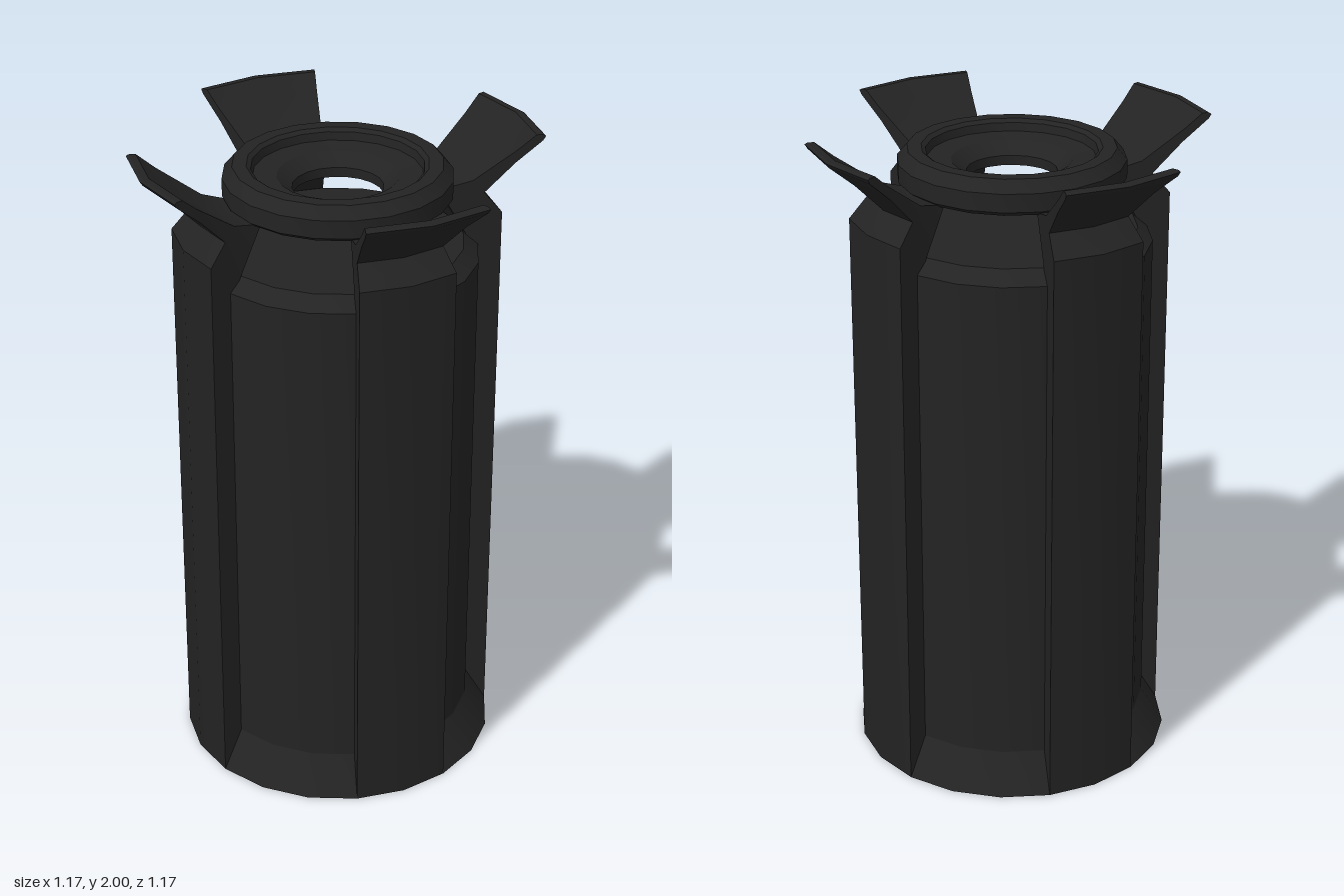
import * as THREE from 'three';
import { mergeGeometries, toCreasedNormals } from 'three/addons/utils/BufferGeometryUtils.js';

const STEP = Math.PI / 10; // one side of the 20-sided round
const CREASE = THREE.MathUtils.degToRad(25);
const toPoints = (list) => list.map(([r, y]) => new THREE.Vector2(r, y));

// Revolved part; profiles run upward on the outside.
function turned(profile, segments = 20, start = 0, length = Math.PI * 2) {
  return new THREE.LatheGeometry(toPoints(profile), segments, start, length);
}

// Flat side of a rib at angle a, facing towards lower or higher angles.
function sideCap(profile, a, flip) {
  const cap = new THREE.ShapeGeometry(new THREE.Shape(toPoints(profile)));
  cap.rotateY(a - Math.PI / 2);
  if (flip) cap.index.array.reverse();
  return cap;
}

export function createModel() {
  const group = new THREE.Group();
  const black = new THREE.MeshStandardMaterial({ color: 0x232323 });
  black.name = 'matte black';

  const add = (name, geometry) => {
    const mesh = new THREE.Mesh(toCreasedNormals(geometry, CREASE), black);
    mesh.name = name;
    group.add(mesh);
    return mesh;
  };

  // Main drum with flared foot and bevelled shoulder
  add('drum', turned([
    [0, 0], [0.49, 0], [0.42, 0.12], [0.42, 1.66], [0.375, 1.7], [0, 1.7],
  ]));

  // Raised ring with a stepped, funnel-shaped opening
  add('topRing', turned([
    [0.135, 1.84], [0.32, 1.84], [0.34, 1.855], [0.34, 1.91], [0.31, 1.945],
    [0.268, 1.945], [0.255, 1.935], [0.25, 1.91], [0.18, 1.905], [0.135, 1.87], [0.135, 1.84],
  ]));

  // Four full-height ribs that carry the ring and flare out at the top
  const rib = [
    [0.4, 0], [0.49, 0], [0.49, 1.76], [0.435, 1.825], [0.525, 1.915],
    [0.605, 1.982], [0.613, 1.995], [0.605, 2], [0.585, 2], [0.53, 1.955],
    [0.4, 1.865], [0.34, 1.85], [0.3, 1.84], [0.38, 1.7], [0.4, 1.66],
  ];
  for (let i = 0; i < 4; i++) {
    const start = -3 * STEP + i * Math.PI / 2;
    const end = start + 2 * STEP;
    const parts = [
      turned([...rib, rib[0]], 2, start, 2 * STEP),
      sideCap(rib, start, false),
      sideCap(rib, end, true),
    ];
    add('rib' + (i + 1), mergeGeometries(parts));
  }
  return group;
}
